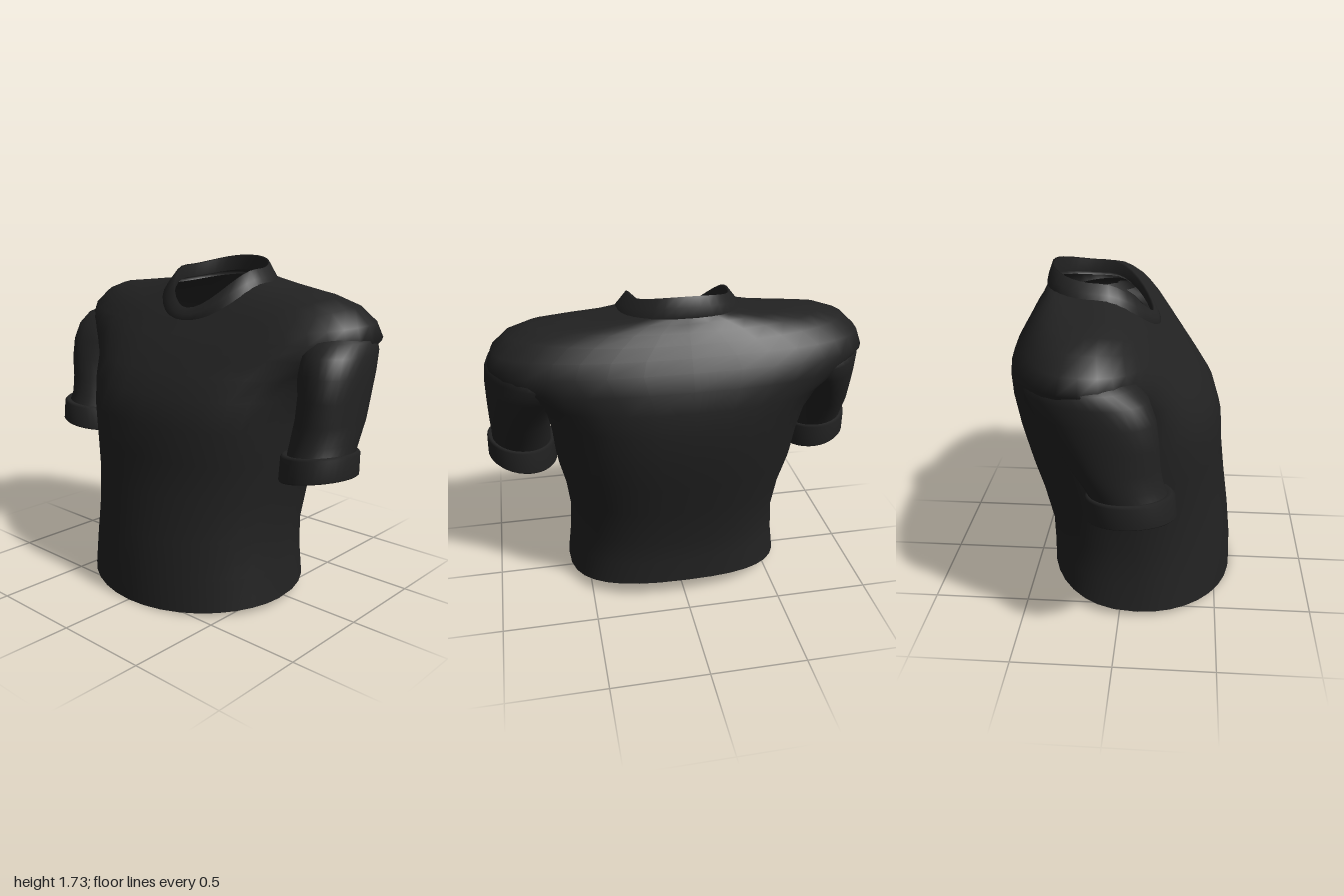
import * as THREE from 'three';

const SEG = 36;
const spow = (v, p) => Math.sign(v) * Math.pow(Math.abs(v), p);

// Skin a stack of closed rings; point(ring, angle) gives [x, y, z], angle 0 = +x, 90 = front.
// Faces whose corners all satisfy hidden(x, y) are left out, so sleeves open into the body.
function loft(rings, point, { mirror = 1, hidden = () => false } = {}) {
  const pos = [], idx = [];
  rings.forEach((r) => {
    for (let j = 0; j < SEG; j++) {
      const [x, y, z] = point(r, (j / SEG) * Math.PI * 2);
      pos.push(x * mirror, y, z);
    }
  });
  const inside = (i) => hidden(Math.abs(pos[i * 3]), pos[i * 3 + 1]);
  for (let i = 0; i < rings.length - 1; i++) {
    for (let j = 0; j < SEG; j++) {
      const k = (j + 1) % SEG;
      const a = i * SEG + j, b = i * SEG + k, c = a + SEG, d = b + SEG;
      if ([a, b, c, d].every(inside)) continue;
      if (mirror > 0) idx.push(a, c, b, b, c, d);
      else idx.push(a, b, c, b, d, c);
    }
  }
  const g = new THREE.BufferGeometry();
  g.setAttribute('position', new THREE.Float32BufferAttribute(pos, 3));
  g.setIndex(idx);
  g.computeVertexNormals();
  return g;
}

// Body ring: [half width, front z, back z, front y, side y, back y, front and back roundness]
function bodyPoint([hw, zf, zb, yf, ys, yb, nf = 2, nb = 2], a) {
  const front = Math.sin(a) > 0, n = front ? nf : nb;
  const c = spow(Math.cos(a), 2 / n), s = spow(Math.sin(a), 2 / n);
  const y = ys + ((front ? yf : yb) - ys) * s * s;
  return [hw * c, y, (zf + zb) / 2 + ((zf - zb) / 2) * s];
}

// Sleeve ring: [inner x, outer x, front z, back z, y, tilt, skew of the back towards the spine]
function sleevePoint([x0, x1, zf, zb, y, tilt = 0, skew = 0], a) {
  const c = Math.cos(a), s = Math.sin(a);
  return [
    (x0 + x1) / 2 + ((x1 - x0) / 2) * c + skew * s,
    y + tilt * (c + 0.4 * s),
    (zf + zb) / 2 + ((zf - zb) / 2) * s,
  ];
}

export function createModel() {
  const model = new THREE.Group();
  const cloth = new THREE.MeshStandardMaterial({ color: 0x222222, side: THREE.DoubleSide });
  cloth.name = 'black cloth';
  const add = (name, geometry) => {
    const mesh = new THREE.Mesh(geometry, cloth);
    mesh.name = name;
    model.add(mesh);
  };

  // Torso, from the hem over the broad shoulders up to the neckline
  add('torso', loft([
    [0.605, 0.59, -0.4, 0.01, 0.04, 0.12, 2, 2.5],
    [0.585, 0.585, -0.4, 0.18, 0.2, 0.25, 2, 2.5],
    [0.575, 0.565, -0.405, 0.38, 0.38, 0.38, 2, 2.5],
    [0.6, 0.535, -0.46, 0.6, 0.6, 0.6, 2.05, 2.4],
    [0.64, 0.515, -0.51, 0.78, 0.78, 0.78, 2.15, 2.4],
    [0.655, 0.505, -0.555, 0.95, 0.95, 0.95, 2.3, 2.4],
    [0.685, 0.46, -0.583, 1.09, 1.1, 1.12, 2.4, 2.4],
    [0.74, 0.385, -0.58, 1.2, 1.2, 1.24, 2.4, 2.5],
    [0.86, 0.3, -0.56, 1.31, 1.29, 1.34, 2.4, 2.5],
    [0.945, 0.24, -0.525, 1.37, 1.38, 1.42, 2.4, 2.5],
    [0.92, 0.21, -0.49, 1.4, 1.46, 1.48, 2.4, 2.4],
    [0.84, 0.19, -0.46, 1.42, 1.535, 1.535, 2.2, 2.2],
    [0.72, 0.175, -0.43, 1.435, 1.575, 1.58, 2.1, 2.1],
    [0.55, 0.165, -0.41, 1.445, 1.592, 1.62],
    [0.4, 0.155, -0.4, 1.45, 1.605, 1.645],
    [0.29, 0.145, -0.39, 1.455, 1.625, 1.66],
  ], bodyPoint, { hidden: (x, y) => x > 0.7 && y < 1.35 }));

  // Narrow turned-in edge at the hem
  add('hemFold', loft([
    [0.57, 0.56, -0.37, 0.06, 0.09, 0.16, 2, 2.5],
    [0.585, 0.575, -0.385, 0.015, 0.045, 0.122, 2, 2.5],
    [0.605, 0.59, -0.4, 0.01, 0.04, 0.12, 2, 2.5],
  ], bodyPoint));

  // Standing collar, outside then over the rim and down inside
  add('collar', loft([
    [0.31, 0.16, -0.395, 1.41, 1.59, 1.635, 2, 2.2],
    [0.318, 0.18, -0.405, 1.425, 1.605, 1.65, 2, 2.2],
    [0.285, 0.165, -0.395, 1.46, 1.645, 1.695, 2, 2.2],
    [0.25, 0.14, -0.378, 1.495, 1.69, 1.742, 2, 2.2],
    [0.24, 0.13, -0.37, 1.49, 1.685, 1.737, 2, 2.2],
    [0.245, 0.13, -0.372, 1.45, 1.62, 1.66, 2, 2.2],
  ], bodyPoint));

  for (const [side, mirror] of [['left', 1], ['right', -1]]) {
    // Sleeve, from the cuff up to where it sinks into the shoulder
    add(side + 'Sleeve', loft([
      [0.66, 0.97, 0.25, -0.11, 0.85, 0.02],
      [0.66, 0.968, 0.225, -0.15, 0.92, 0.01],
      [0.66, 0.97, 0.21, -0.22, 1.02, 0, 0.01],
      [0.645, 0.97, 0.205, -0.29, 1.13, 0, 0.03],
      [0.6, 0.965, 0.19, -0.37, 1.24, 0, 0.05],
      [0.55, 0.955, 0.155, -0.42, 1.33, 0, 0.06],
      [0.52, 0.935, 0.095, -0.41, 1.39, 0, 0.06],
      [0.52, 0.86, 0.02, -0.36, 1.43, 0, 0.05],
    ], sleevePoint, { mirror, hidden: (x, y) => x < 0.64 && y > 1.2 }));

    // Rolled cuff
    add(side + 'Cuff', loft([
      [0.665, 0.965, 0.25, -0.1, 0.86, 0.02],
      [0.66, 0.97, 0.26, -0.1, 0.76, 0.03],
      [0.64, 0.99, 0.285, -0.125, 0.742, 0.03],
      [0.632, 0.998, 0.29, -0.13, 0.75, 0.03],
      [0.635, 0.995, 0.28, -0.135, 0.86, 0.02],
      [0.645, 0.985, 0.265, -0.125, 0.872, 0.02],
      [0.665, 0.965, 0.24, -0.11, 0.865, 0.02],
    ], sleevePoint, { mirror }));
  }
  return model;
}
